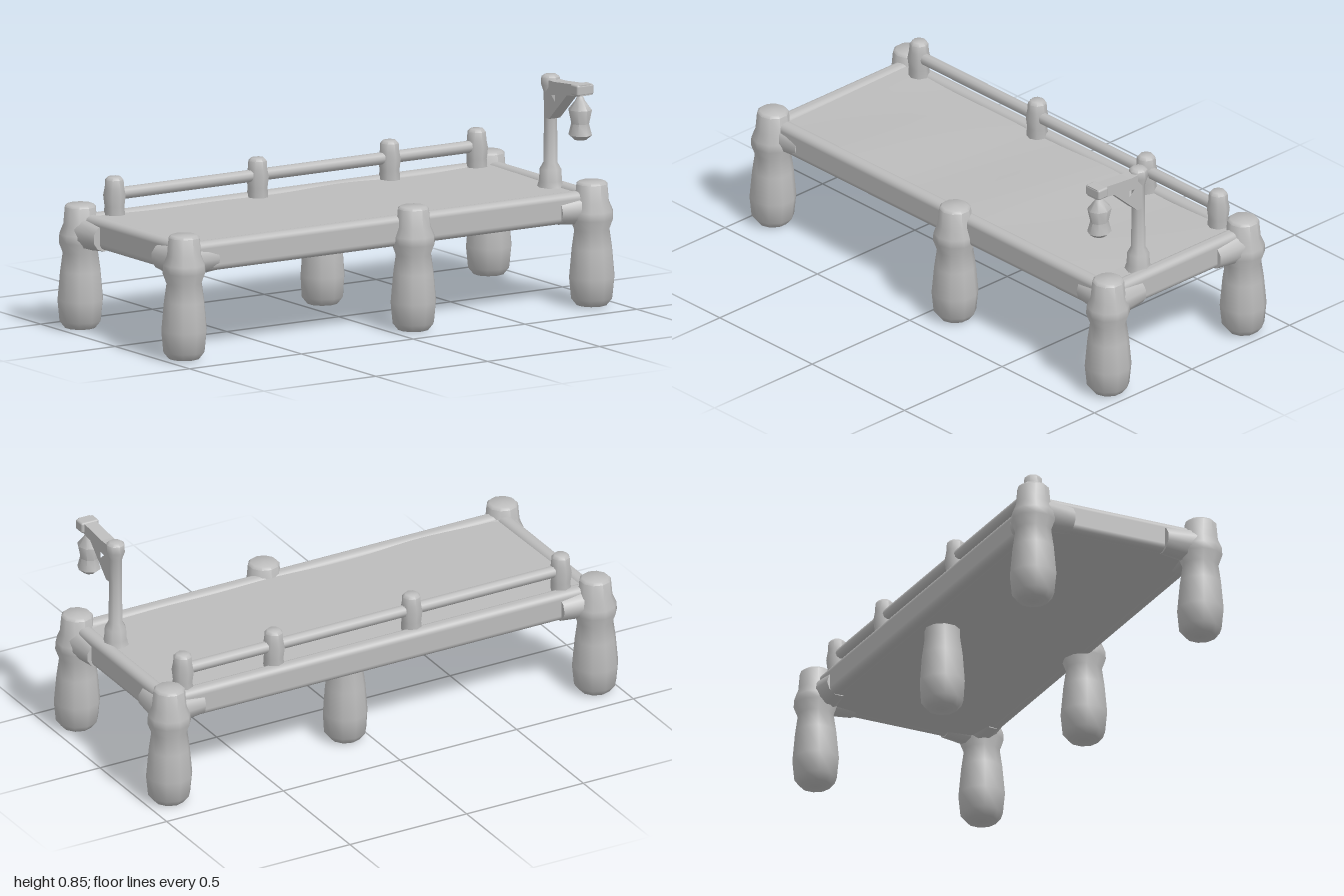
import * as THREE from 'three';
import { toCreasedNormals } from 'three/addons/utils/BufferGeometryUtils.js';
import { RoundedBoxGeometry } from 'three/addons/geometries/RoundedBoxGeometry.js';

export function createModel() {
  const model = new THREE.Group();
  const clay = new THREE.MeshStandardMaterial({ color: 0xbcbcbc });
  clay.name = 'plain grey';

  const add = (name, geometry, x = 0, y = 0, z = 0) => {
    const mesh = new THREE.Mesh(geometry, clay);
    mesh.name = name;
    mesh.position.set(x, y, z);
    model.add(mesh);
    return mesh;
  };
  // Turned shape from [radius, height] pairs, bottom to top
  const turned = (points, sides) => toCreasedNormals(
    new THREE.LatheGeometry(points.map(([r, y]) => new THREE.Vector2(r, y)), sides), 0.9);

  // Piles: fat bottom, collar at deck height, narrow head
  const pile = turned([[0, 0], [0.058, 0.003], [0.08, 0.03], [0.088, 0.11], [0.078, 0.22], [0.068, 0.29],
    [0.083, 0.33], [0.081, 0.36], [0.066, 0.395], [0.06, 0.462], [0.05, 0.471], [0, 0.471]], 10);
  const corners = [[-0.915, 0.335], [0.905, 0.34], [-0.915, -0.362], [0.905, -0.352]];
  corners.forEach(([x, z]) => add('pile', pile, x, 0, z));
  add('frontMiddlePile', pile, 0.095, 0, 0.358);
  add('backMiddlePile', turned([[0, 0], [0.058, 0.003], [0.08, 0.03], [0.085, 0.11], [0.077, 0.22],
    [0.067, 0.29], [0.067, 0.35]], 10), 0.085, 0, -0.237);

  // Lashings that swell the beams where they meet the corner piles
  const swell = new THREE.CylinderGeometry(0.05, 0.064, 0.13, 10);
  corners.forEach(([x, z]) => {
    add('endLashing', swell, x - Math.sign(x) * 0.005, 0.365, z - Math.sign(z) * 0.09)
      .rotation.x = -Math.sign(z) * Math.PI / 2;
    add('sideLashing', swell, x - Math.sign(x) * 0.08, 0.367, z - Math.sign(z) * 0.025)
      .rotation.z = Math.sign(x) * Math.PI / 2;
  });

  // Rim beams with rounded edges
  for (const z of [0.325, -0.335]) {
    add('longBeam', new RoundedBoxGeometry(1.85, 0.115, 0.06, 3, 0.025), 0, 0.379, z);
  }
  for (const x of [-0.9, 0.9]) {
    add('endBeam', new RoundedBoxGeometry(0.06, 0.115, 0.69, 3, 0.025), x, 0.379, 0);
  }

  // Deck slab with a slightly worn, uneven top
  const deck = new THREE.BoxGeometry(1.8, 0.1, 0.66, 36, 1, 8);
  const p = deck.attributes.position;
  for (let i = 0; i < p.count; i++) {
    if (p.getY(i) > 0) {
      const x = p.getX(i), z = p.getZ(i);
      p.setY(i, 0.052 + 0.005 * Math.sin(x * 9 + z) * Math.cos(z * 2.5 + x * 2));
    }
  }
  deck.computeVertexNormals();
  add('deck', toCreasedNormals(deck, 0.7), 0, 0.373, -0.005);

  // Back railing
  const railPost = turned([[0.042, 0.4], [0.038, 0.46], [0.043, 0.5], [0.037, 0.53], [0.035, 0.56],
    [0.025, 0.571], [0, 0.571]], 8);
  for (const x of [-0.8, -0.16, 0.43, 0.82]) add('railPost', railPost, x, 0, -0.305);
  add('handRail', new THREE.CylinderGeometry(0.023, 0.023, 1.62, 10), 0.01, 0.505, -0.305)
    .rotation.z = Math.PI / 2;

  // Lamp post with flared foot and thicker head
  const px = 0.855;
  add('lampPost', turned([[0.052, 0.42], [0.044, 0.445], [0.041, 0.49], [0.027, 0.515], [0.025, 0.68],
    [0.026, 0.78], [0.036, 0.81], [0.035, 0.84], [0.022, 0.849], [0, 0.849]], 8), px, 0, 0.138);

  // Arm and brace cut as one bracket with a small gap
  const bracket = new THREE.Shape([[0.14, 0.832], [0.2, 0.832], [0.374, 0.848], [0.374, 0.806],
    [0.285, 0.795], [0.165, 0.685], [0.14, 0.685]].map(([z, y]) => new THREE.Vector2(z, y)));
  bracket.holes.push(new THREE.Path([[0.18, 0.779], [0.207, 0.783], [0.206, 0.757]]
    .map(([z, y]) => new THREE.Vector2(z, y))));
  const bracketGeometry = new THREE.ExtrudeGeometry(bracket, { depth: 0.05, bevelEnabled: false });
  bracketGeometry.translate(0, 0, -0.025).rotateY(-Math.PI / 2);
  add('lampBracket', bracketGeometry, px, 0, 0);
  add('armEnd', new RoundedBoxGeometry(0.075, 0.042, 0.05, 2, 0.008), px, 0.827, 0.35);

  // Hanging lantern
  add('lantern', turned([[0, 0.63], [0.025, 0.634], [0.048, 0.652], [0.036, 0.695], [0.048, 0.748],
    [0.02, 0.782], [0.006, 0.812]], 8), px, 0, 0.337).scale.x = 0.9;

  return model;
}
